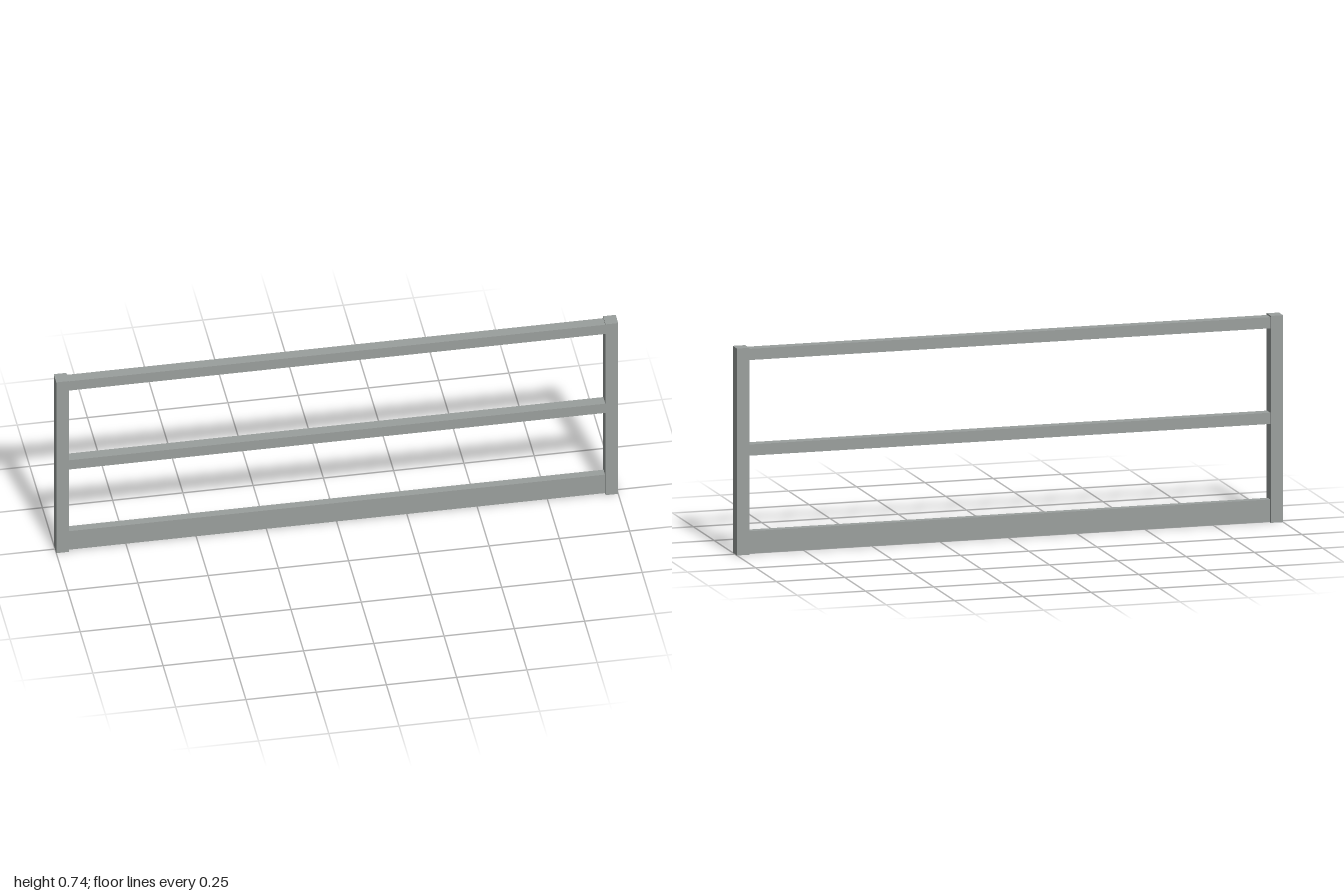
import * as THREE from 'three';

export function createModel() {
  const model = new THREE.Group();
  model.name = 'guardRail';
  const steel = new THREE.MeshStandardMaterial({ color: 0x9a9f9d });
  steel.name = 'grey steel';

  const HEIGHT = 0.74, POST_W = 0.045, POST_D = 0.05, RAIL_D = 0.04;
  const span = 2 - 2 * POST_W;

  // Adds a box standing on the given bottom height
  function addBar(name, width, height, depth, x, bottom) {
    const mesh = new THREE.Mesh(new THREE.BoxGeometry(width, height, depth), steel);
    mesh.name = name;
    mesh.position.set(x, bottom + height / 2, 0);
    model.add(mesh);
  }

  // End posts
  for (const [name, side] of [['leftPost', 1], ['rightPost', -1]]) {
    addBar(name, POST_W, HEIGHT, POST_D, side * (1 - POST_W / 2), 0);
  }

  // Rails and toe board between the posts
  addBar('topRail', span, 0.04, RAIL_D, 0, 0.695);
  addBar('middleRail', span, 0.04, RAIL_D, 0, 0.353);
  addBar('toeBoard', span, 0.08, 0.03, 0, 0.002);

  return model;
}
